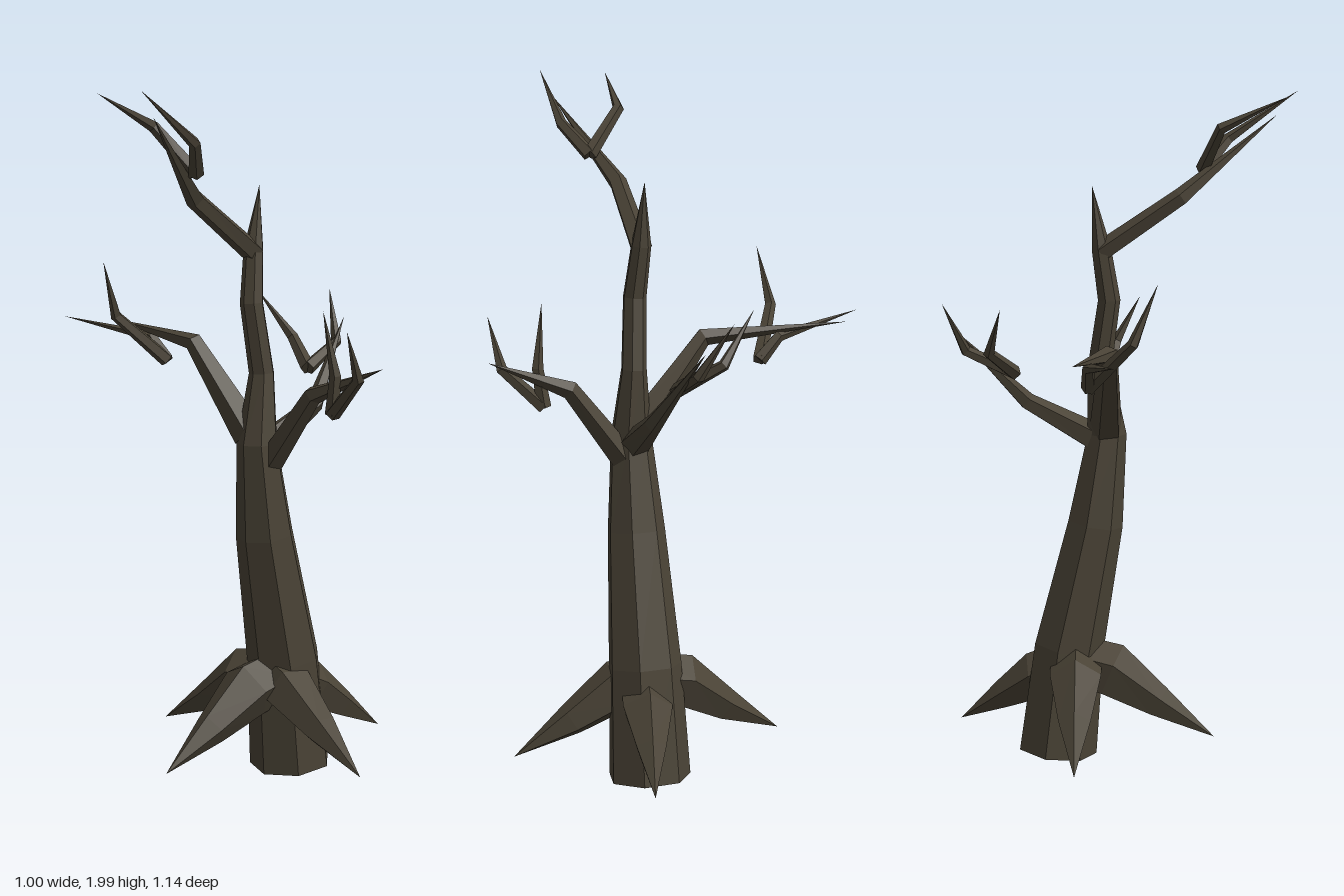
import * as THREE from 'three';

// Faceted tapering limb: rings along a path of [x, y, z, radius]; radius 0 makes a point.
function limbGeometry(path, sides) {
  const pts = path.map(p => new THREE.Vector3(p[0], p[1], p[2]));
  const last = pts.length - 1;
  const pos = [], index = [];
  const ref = new THREE.Vector3(0.31, 0.2, 0.93).normalize();
  const u = ref.clone(), v = new THREE.Vector3();
  pts.forEach((p, k) => {
    const t = new THREE.Vector3();
    if (k > 0) t.add(p.clone().sub(pts[k - 1]).normalize());
    if (k < last) t.add(pts[k + 1].clone().sub(p).normalize());
    t.normalize();
    if (k === 0 && Math.abs(u.dot(t)) > 0.9) u.set(0, 1, 0);
    u.addScaledVector(t, -u.dot(t)).normalize(); // carry the frame along
    v.crossVectors(t, u);
    for (let i = 0; i < sides; i++) {
      const a = i / sides * Math.PI * 2;
      const q = p.clone()
        .addScaledVector(u, Math.cos(a) * path[k][3])
        .addScaledVector(v, Math.sin(a) * path[k][3]);
      pos.push(q.x, q.y, q.z);
    }
  });
  for (let k = 0; k < last; k++) {
    for (let i = 0; i < sides; i++) {
      const j = (i + 1) % sides;
      const a = k * sides + i, b = k * sides + j, c = b + sides, d = a + sides;
      index.push(a, b, c);
      if (path[k + 1][3] > 0) index.push(a, c, d);
    }
  }
  // cap at the start
  for (let i = 1; i < sides - 1; i++) index.push(0, i + 1, i);
  let g = new THREE.BufferGeometry();
  g.setAttribute('position', new THREE.Float32BufferAttribute(pos, 3));
  g.setIndex(index);
  g = g.toNonIndexed();
  g.computeVertexNormals();
  return g;
}

export function createModel() {
  const tree = new THREE.Group();
  tree.name = 'deadTree';
  const bark = new THREE.MeshStandardMaterial({ color: 0x4a4336 });
  bark.name = 'bark';

  const addLimb = (parent, name, path, sides) => {
    const mesh = new THREE.Mesh(limbGeometry(path, sides), bark);
    mesh.name = name;
    parent.add(mesh);
  };

  // Leaning trunk running up into a spike
  addLimb(tree, 'trunk', [
    [0.19, 0.022, 0.13, 0.121],
    [0.155, 0.35, 0.135, 0.108],
    [0.075, 0.73, 0.14, 0.085],
    [0.04, 1.0, 0.145, 0.06],
    [0.06, 1.2, 0.14, 0.037],
    [0.03, 1.4, 0.13, 0.034],
    [0.05, 1.55, 0.115, 0.029],
    [0.075, 1.73, 0.11, 0],
  ], 7);

  // Roots: thick at the trunk, ending in points above the ground
  const roots = {
    rightRoot: [[0.13, 0.3, 0.13, 0.08], [0.02, 0.275, 0.13, 0.085], [-0.12, 0.185, 0.13, 0.05], [-0.29, 0.085, 0.13, 0]],
    leftRoot: [[0.16, 0.29, 0.14, 0.07], [0.25, 0.245, 0.15, 0.075], [0.36, 0.175, 0.165, 0.045], [0.5, 0.085, 0.185, 0]],
    frontRoot: [[0.12, 0.3, 0.13, 0.07], [0.11, 0.275, 0.2, 0.08], [0.11, 0.185, 0.34, 0.05], [0.105, 0.085, 0.51, 0]],
    backRoot: [[0.13, 0.3, 0.14, 0.08], [0.11, 0.275, 0.01, 0.08], [0.09, 0.185, -0.12, 0.05], [0.06, 0.085, -0.295, 0]],
  };
  for (const [name, path] of Object.entries(roots)) addLimb(tree, name, path, 5);

  // Branches: a bent main limb, and two bent twigs sharing one fork point
  const branches = [
    {
      name: 'topBranch',
      main: [[0.05, 1.54, 0.115, 0.032], [-0.18, 1.7, 0.13, 0.027], [-0.44, 1.93, 0.27, 0]],
      fork: [-0.235, 1.775, 0.2],
      twigs: [[[-0.3, 1.9, 0.1], [-0.49, 1.99, 0.098]], [[-0.3, 1.86, 0.27], [-0.5, 2.0, 0.293]]],
    },
    {
      name: 'leftBranch',
      main: [[0.06, 0.98, 0.14, 0.045], [0.275, 1.09, 0.135, 0.027], [0.48, 1.32, 0.04, 0]],
      fork: [0.3, 1.185, 0.075],
      twigs: [[[0.35, 1.26, -0.045], [0.295, 1.4, -0.145]], [[0.44, 1.25, 0.05], [0.49, 1.4, -0.035]]],
    },
    {
      name: 'frontBranch',
      main: [[0.06, 0.94, 0.17, 0.04], [0.08, 1.155, 0.33, 0.028], [0.12, 1.25, 0.565, 0]],
      fork: [0.085, 1.11, 0.405],
      twigs: [[[0.07, 1.22, 0.52], [0, 1.36, 0.545]], [[0.08, 1.22, 0.42], [0.05, 1.4, 0.4]]],
    },
    {
      name: 'backBranch',
      main: [[0.035, 1.02, 0.12, 0.05], [-0.005, 1.27, -0.08, 0.028], [0.025, 1.3, -0.5, 0]],
      fork: [0.025, 1.2, -0.24],
      twigs: [[[-0.11, 1.335, -0.31], [-0.175, 1.5, -0.286]], [[0.015, 1.265, -0.3], [-0.1, 1.31, -0.575]]],
    },
  ];
  for (const b of branches) {
    const group = new THREE.Group();
    group.name = b.name;
    addLimb(group, 'mainLimb', b.main, 5);
    b.twigs.forEach(([bend, tip], i) => {
      addLimb(group, i ? 'lowerTwig' : 'upperTwig',
        [[...b.fork, 0.022], [...bend, 0.017], [...tip, 0]], 5);
    });
    tree.add(group);
  }
  return tree;
}
